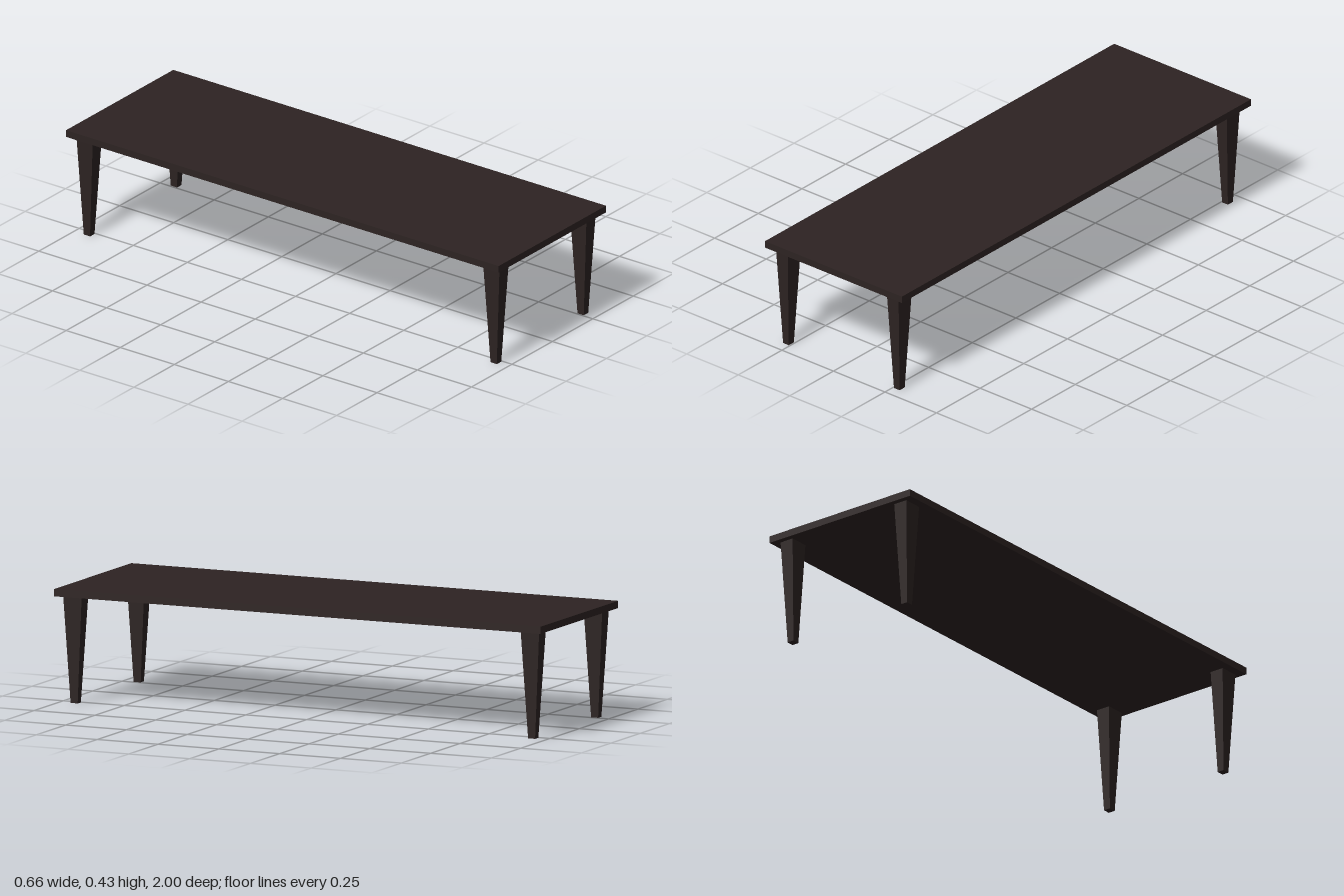
import * as THREE from 'three';

const TOP_Y = 0.431, UNDER_Y = 0.404;

// Rectangular leg tapering evenly towards the foot
function taperedLegGeometry() {
  const g = new THREE.BoxGeometry(0.057, UNDER_Y, 0.076);
  const p = g.attributes.position;
  for (let i = 0; i < p.count; i++) {
    if (p.getY(i) < 0) {
      p.setX(i, Math.sign(p.getX(i)) * 0.0138);
      p.setZ(i, Math.sign(p.getZ(i)) * 0.0145);
    }
  }
  g.translate(0, UNDER_Y / 2, 0);
  g.computeVertexNormals();
  return g;
}

export function createModel() {
  const model = new THREE.Group();
  model.name = 'lowTable';

  const wood = new THREE.MeshStandardMaterial({ color: 0x2d2322 });
  wood.name = 'darkWood';

  // Table top slab
  const top = new THREE.Mesh(new THREE.BoxGeometry(0.664, TOP_Y - UNDER_Y, 2), wood);
  top.name = 'tableTop';
  top.position.y = (TOP_Y + UNDER_Y) / 2;
  model.add(top);

  // Four legs near the corners
  const legGeometry = taperedLegGeometry();
  for (const [zName, z] of [['front', 0.94], ['back', -0.94]]) {
    for (const [xName, x] of [['Left', 0.269], ['Right', -0.269]]) {
      const leg = new THREE.Mesh(legGeometry, wood);
      leg.name = `${zName}${xName}Leg`;
      leg.position.set(x, 0, z);
      model.add(leg);
    }
  }
  return model;
}
